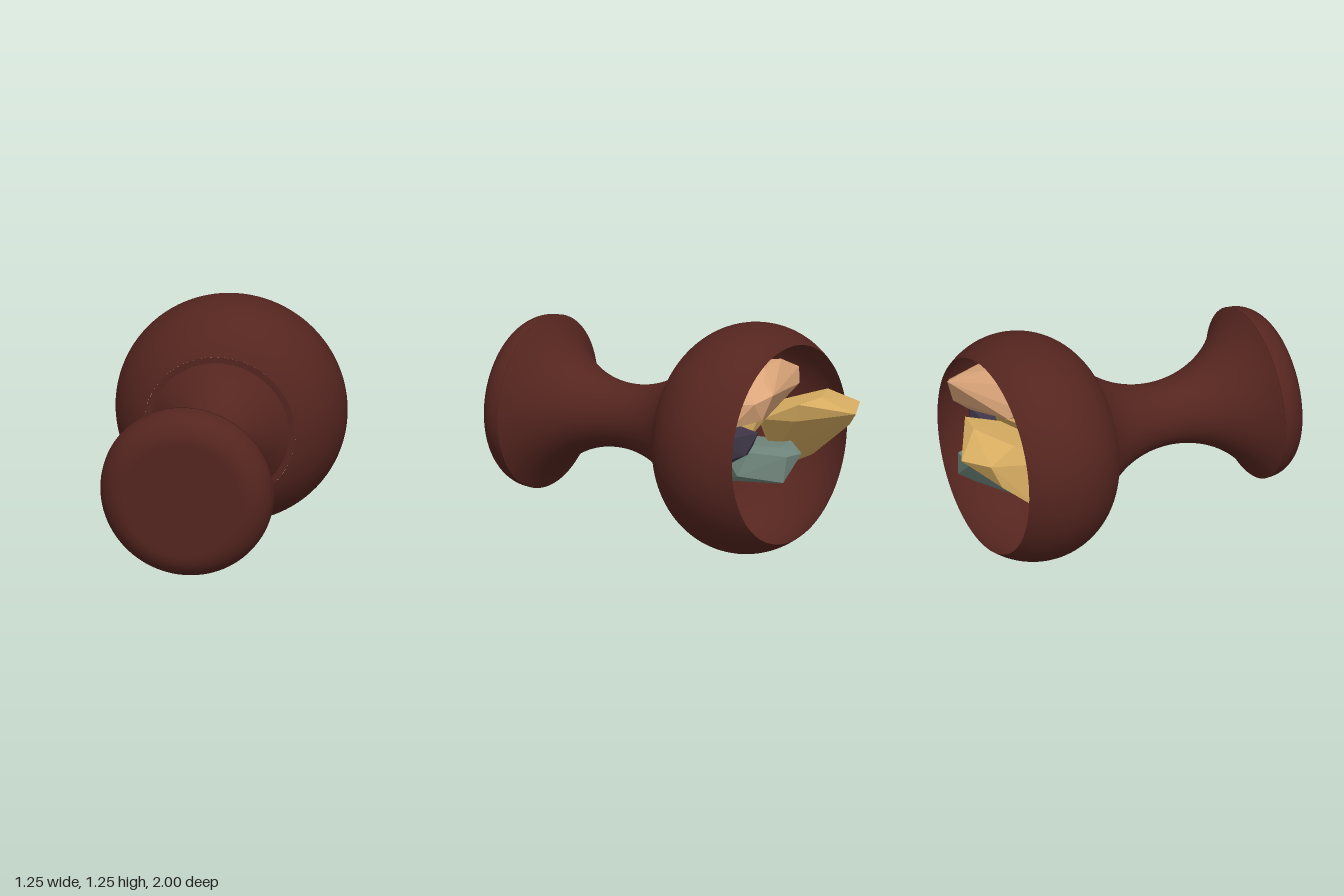
import * as THREE from 'three';
import { ConvexGeometry } from 'three/addons/geometries/ConvexGeometry.js';

const AXIS_Y = 0.626;

// Points [radius, z] along an elliptical arc, angles measured from the radial direction
function arc(r, z, rr, rz, from, to, n) {
  return Array.from({ length: n + 1 }, (_, i) => {
    const a = from + (to - from) * i / n;
    return [r + rr * Math.cos(a), z + rz * Math.sin(a)];
  });
}

// Profile turned about the horizontal z axis
function turned(name, profile, material) {
  const points = profile.map(([r, z]) => new THREE.Vector2(Math.max(r, 0), z));
  const geometry = new THREE.LatheGeometry(points, 96).rotateX(Math.PI / 2);
  const mesh = new THREE.Mesh(geometry, material);
  mesh.name = name;
  mesh.position.y = AXIS_Y;
  return mesh;
}

// Faceted stone spanned by its corners
function stone(name, color, corners) {
  const geometry = new ConvexGeometry(corners.map((c) => new THREE.Vector3(...c)));
  const mesh = new THREE.Mesh(geometry, new THREE.MeshStandardMaterial({ color, flatShading: true }));
  mesh.name = name;
  return mesh;
}

export function createModel() {
  const model = new THREE.Group();
  model.name = 'gobletOfStones';
  const clay = new THREE.MeshStandardMaterial({ color: 0x55251f, side: THREE.DoubleSide });

  // Goblet lying on its side: open bowl to the back, foot to the front
  const bowlStart = -Math.asin(0.25 / 0.411), bowlEnd = Math.asin(0.36 / 0.411);
  model.add(
    turned('bowl', arc(0.215, -0.49, 0.411, 0.411, bowlStart, bowlEnd, 32), clay),
    turned('bowlFloor', [[0.413, -0.13], [0, -0.13]], clay),
    turned('stem', arc(0.775, 0.32, 0.6, 0.6, Math.PI + 0.85, Math.PI - 1.04, 40), clay),
    turned('foot', [[0.47, 0.84], ...arc(0.32, 0.85, 0.15, 0.15, 0, Math.PI / 2, 16), [0.3, 1], [0, 1]], clay),
  );

  // Rough stones heaped in the bowl
  const gold = 0xd9ae62, peach = 0xdca67a, teal = 0x71877d, violet = 0x3f3748;
  const stones = new THREE.Group();
  stones.name = 'stones';
  stones.add(
    stone('goldStoneFront', gold, [
      [-0.25, 0.78, -1], [-0.42, 0.8, -0.91], [-0.42, 0.66, -0.84], [-0.12, 0.88, -0.86],
      [0.04, 0.87, -0.83], [0.03, 0.77, -0.8], [-0.3, 0.62, -0.8], [-0.42, 0.46, -0.6],
      [-0.3, 0.42, -0.52], [-0.1, 0.52, -0.56], [-0.36, 0.86, -0.74], [-0.38, 0.7, -0.45],
      [-0.08, 0.78, -0.45], [0.06, 0.76, -0.6],
    ]),
    stone('goldStoneBack', gold, [
      [0.12, 0.66, -0.56], [0.1, 0.8, -0.62], [-0.05, 0.88, -0.68], [-0.25, 0.9, -0.62],
      [-0.36, 0.82, -0.5], [-0.3, 0.65, -0.3], [0.1, 0.62, -0.28], [0.05, 0.82, -0.35],
    ]),
    stone('peachStone', peach, [
      [0.27, 0.97, -0.82], [0.36, 0.93, -0.76], [0.17, 0.99, -0.75], [0.3, 0.83, -0.77],
      [0.24, 1.02, -0.74], [0.41, 0.79, -0.64], [0.4, 0.92, -0.62], [0.12, 1.07, -0.66],
      [0.26, 1.05, -0.6], [-0.08, 1.07, -0.63], [-0.25, 0.99, -0.63], [-0.18, 0.92, -0.68],
      [0.05, 0.88, -0.71], [0.2, 0.81, -0.72], [-0.2, 0.95, -0.45], [0.05, 1.05, -0.42],
      [0.32, 0.95, -0.4], [0.36, 0.77, -0.45], [0.05, 0.82, -0.42],
    ]),
    stone('tealStone', teal, [
      [0.16, 0.46, -0.81], [0, 0.59, -0.82], [0.14, 0.6, -0.82], [0.12, 0.64, -0.76],
      [0.09, 0.43, -0.74], [0.22, 0.47, -0.55], [0.18, 0.6, -0.6], [-0.1, 0.62, -0.68],
      [-0.36, 0.46, -0.56], [-0.35, 0.41, -0.38], [-0.1, 0.38, -0.5], [0.1, 0.4, -0.42],
      [-0.25, 0.56, -0.32], [0.1, 0.6, -0.35],
    ]),
    stone('violetStone', violet, [
      [0.46, 0.7, -0.6], [0.47, 0.6, -0.58], [0.36, 0.73, -0.64], [0.3, 0.62, -0.66],
      [0.12, 0.7, -0.62], [0.1, 0.57, -0.55], [0.36, 0.52, -0.5], [0.44, 0.55, -0.38],
      [0.4, 0.74, -0.36], [0.1, 0.74, -0.34], [0.12, 0.54, -0.3],
    ]),
  );
  model.add(stones);
  return model;
}
